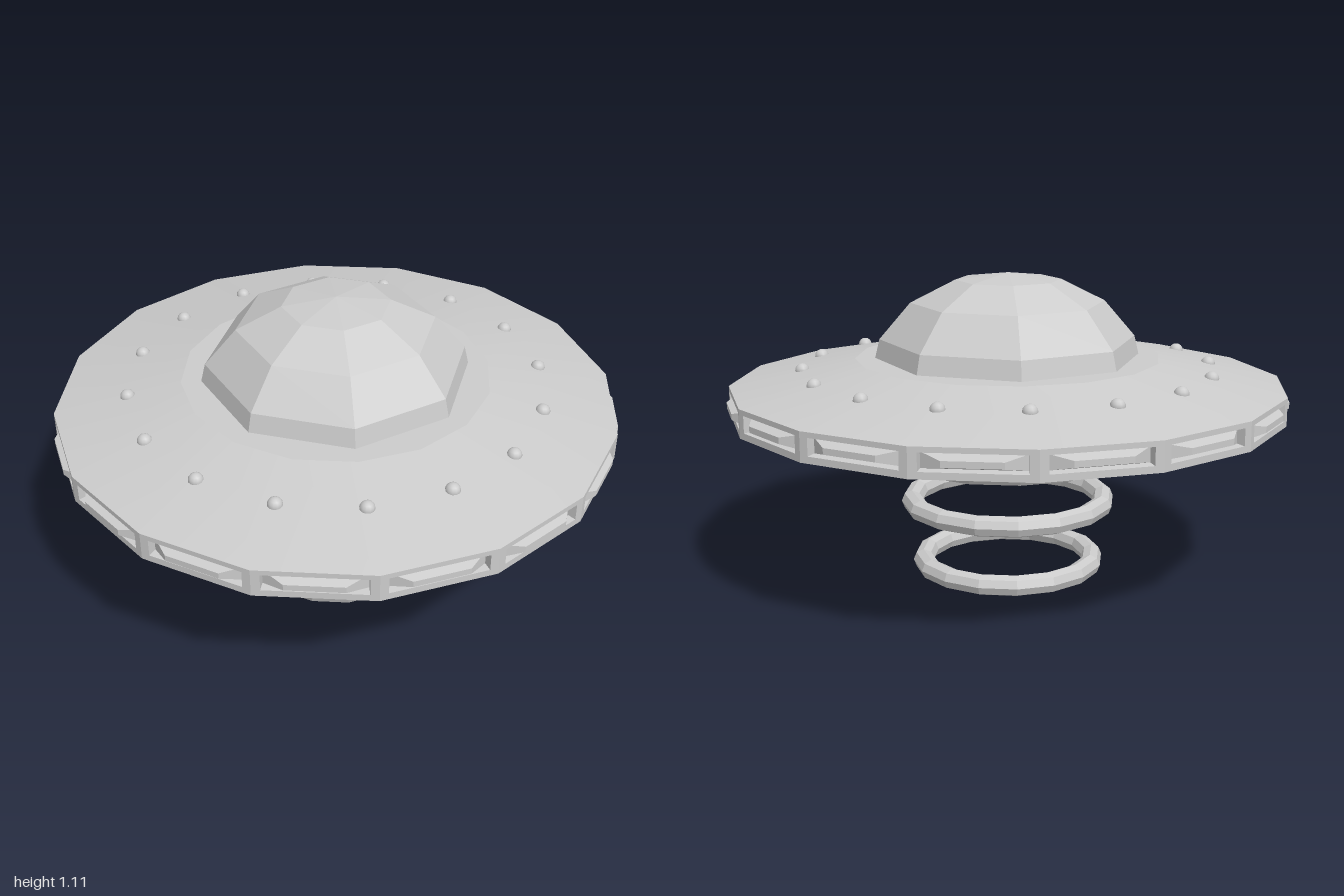
import * as THREE from 'three';

const SIDES = 16;
const STEP = (Math.PI * 2) / SIDES;
const COS = Math.cos(STEP / 2), SIN = Math.sin(STEP / 2);

const smooth = new THREE.MeshStandardMaterial({ color: 0xcccccc });
const flat = new THREE.MeshStandardMaterial({ color: 0xcccccc, flatShading: true });

// Four corners symmetric about x = 0: lower/inner edge first, then upper/outer edge
const quad = (wA, yA, zA, wB, yB, zB) => [[-wA, yA, zA], [wA, yA, zA], [wB, yB, zB], [-wB, yB, zB]];

// Joins nested four-cornered rings with flat faces and closes the last one
function nestedPanel(rings) {
  const pos = [];
  const face = (a, b, c, d) => [a, b, c, a, c, d].forEach((p) => pos.push(...p));
  for (let r = 0; r < rings.length - 1; r++) {
    for (let i = 0; i < 4; i++) {
      const j = (i + 1) % 4;
      face(rings[r][i], rings[r][j], rings[r + 1][j], rings[r + 1][i]);
    }
  }
  face(...rings[rings.length - 1]);
  const geo = new THREE.BufferGeometry();
  geo.setAttribute('position', new THREE.Float32BufferAttribute(pos, 3));
  geo.computeVertexNormals();
  return geo;
}

function createModel() {
  const model = new THREE.Group();
  model.name = 'flyingSaucer';

  const add = (name, geo, mat, parent = model) => {
    const mesh = new THREE.Mesh(geo, mat);
    mesh.name = name;
    parent.add(mesh);
    return mesh;
  };
  const lathe = (name, points, sides, mat) =>
    add(name, new THREE.LatheGeometry(points.map((p) => new THREE.Vector2(...p)), sides), mat);

  // Upper hull and the flat deck around the dome
  lathe('upperHull', [[1, 0.71], [0.55, 0.803]], SIDES, smooth);
  lathe('deck', [[0.55, 0.803], [0, 0.803]], SIDES, flat);

  // Eight-sided cockpit dome
  lathe('dome', [[0.478, 0.803], [0.462, 0.87], [0.35, 1.0], [0.19, 1.08], [0, 1.105]], 8, flat);

  // Rim panels: frame, recess and a raised plate in the middle
  const rimGeo = nestedPanel([
    quad(SIN, 0.61, COS, SIN, 0.71, COS),
    quad(0.166, 0.633, COS, 0.166, 0.692, COS),
    quad(0.162, 0.637, COS - 0.03, 0.162, 0.688, COS - 0.03),
    quad(0.095, 0.652, 0.998, 0.095, 0.673, 0.998),
  ]);

  // Underside sectors, each with a tapered slot
  const hullY = (r) => 0.61 - ((1 - r) / 0.45) * 0.103;
  const rIn = 0.62, rOut = 0.85, lift = 0.03, shift = -0.007;
  const underGeo = nestedPanel([
    quad(0.55 * SIN, hullY(0.55), 0.55 * COS, SIN, hullY(1), COS),
    quad(0.04, hullY(rIn), rIn * COS, 0.075, hullY(rOut), rOut * COS),
    quad(0.04, hullY(rIn) + lift, rIn * COS + shift, 0.075, hullY(rOut) + lift, rOut * COS + shift),
  ]);

  // Domed lights on the upper hull
  const lightGeo = new THREE.SphereGeometry(0.026, 12, 8);

  const rim = new THREE.Group();
  rim.name = 'rim';
  const underside = new THREE.Group();
  underside.name = 'underside';
  const lights = new THREE.Group();
  lights.name = 'hullLights';
  model.add(rim, underside, lights);

  for (let i = 0; i < SIDES; i++) {
    const a = i * STEP;
    add('rimPanel', rimGeo, flat, rim).rotation.y = a + STEP / 2;
    add('undersidePanel', underGeo, flat, underside).rotation.y = a + STEP / 2;
    add('hullLight', lightGeo, smooth, lights).position.set(0.738 * Math.sin(a), 0.762, 0.738 * Math.cos(a));
  }

  // Bottom plate, collar and the shallow lower dome inside it
  lathe('bottomPlate', [[0, 0.507], [0.55, 0.507]], SIDES, flat);
  lathe('collar', [[0.385, 0.507], [0.385, 0.44], [0.44, 0.44], [0.482, 0.507]], SIDES, flat);
  lathe('lowerDome', [[0, 0.36], [0.195, 0.393], [0.35, 0.452], [0.375, 0.507]], 8, flat);

  // Floating beam rings
  [[0.355, 0.267], [0.315, 0.038]].forEach(([radius, y]) => {
    const geo = new THREE.TorusGeometry(radius, 0.038, 8, SIDES);
    geo.rotateX(Math.PI / 2);
    add('beamRing', geo, flat).position.y = y;
  });

  return model;
}

export { createModel };
